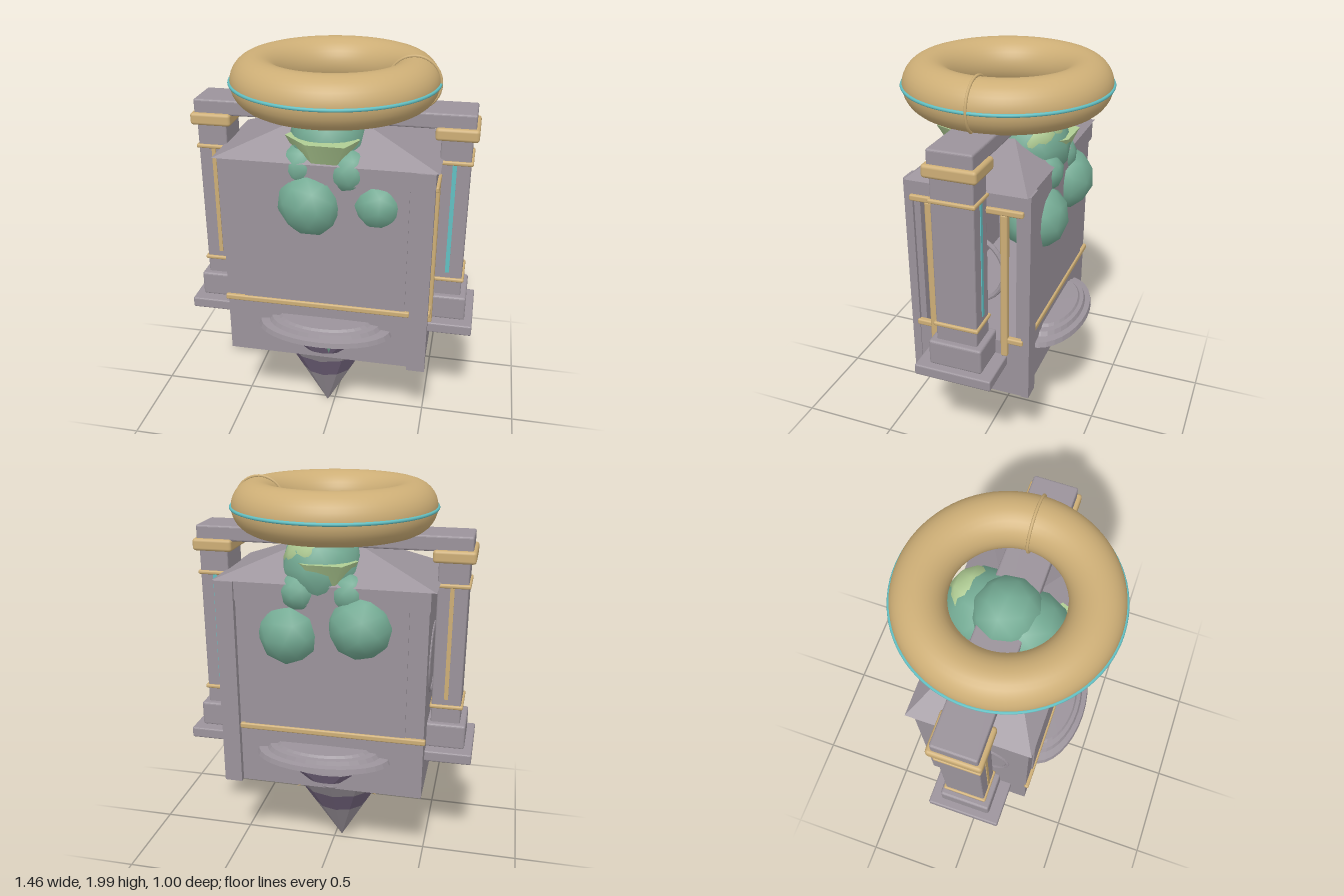
import * as THREE from 'three';
import { RoundedBoxGeometry } from 'three/addons/geometries/RoundedBoxGeometry.js';

const mat = (name, color, flatShading = false) => {
  const m = new THREE.MeshStandardMaterial({ color, flatShading });
  m.name = name;
  return m;
};

export function createModel() {
  const stone = mat('stone', 0x9b939b, true);
  const gold = mat('gold', 0xcdae76);
  const leaf = mat('leaf green', 0x74ab94);
  const paleLeaf = mat('pale leaf green', 0xb0cd94);
  const purple = mat('purple stone', 0x75667f, true);
  const cyan = mat('cyan glow', 0x62bfc2);
  const model = new THREE.Group();

  const add = (name, geo, material, x = 0, y = 0, z = 0, parent = model) => {
    const m = new THREE.Mesh(geo, material);
    m.name = name;
    m.position.set(x, y, z);
    parent.add(m);
    return m;
  };
  // box given by its minimum and maximum on each axis
  const box = (name, material, x0, x1, y0, y1, z0, z1, round = 0) => {
    const s = [x1 - x0, y1 - y0, z1 - z0];
    const geo = round ? new RoundedBoxGeometry(...s, 2, round) : new THREE.BoxGeometry(...s);
    return add(name, geo, material, (x0 + x1) / 2, (y0 + y1) / 2, (z0 + z1) / 2);
  };

  // shrine body: closed on the right, open niche on the left
  for (const s of [1, -1]) {
    const z = s * 0.25;
    box('wallPanel', stone, -0.5, 0.5, 0.48, 1.46, z - 0.02, z + 0.02);
    box('raisedPanel', stone, -0.41, 0.4, 0.8, 1.45, s * 0.272 - 0.005, s * 0.272 + 0.005);
    box('cornerPost', stone, 0.425, 0.515, 0.48, 1.545, s * 0.28 - 0.02, s * 0.28 + 0.02);
    box('wallTrim', gold, -0.51, 0.425, 0.78, 0.81, s * 0.275 - 0.012, s * 0.275 + 0.012, 0.008);
    box('sideTrim', gold, 0.495, 0.525, 0.78, 0.81, s * 0.22 - 0.05, s * 0.22 + 0.05, 0.008);
    box('nichePost', gold, 0.495, 0.53, 0.71, 1.45, s * 0.18 - 0.017, s * 0.18 + 0.017, 0.008);
  }
  box('rightWall', stone, -0.5, -0.46, 0.48, 1.46, -0.26, 0.26);
  box('lowerBody', stone, -0.5, 0.51, 0.48, 0.78, -0.265, 0.265);
  box('eave', stone, -0.505, 0.515, 1.45, 1.545, -0.285, 0.285);
  box('nicheBeam', gold, 0.495, 0.53, 1.445, 1.475, -0.27, 0.27, 0.008);
  for (const s of [1, -1]) {
    const rim = add('nicheRim', new THREE.TorusGeometry(0.17, 0.012, 8, 40), stone, s * 0.495, 1.14, 0);
    rim.rotation.y = Math.PI / 2;
  }

  // shallow pyramid roof
  const roof = add('roof', new THREE.ConeGeometry(Math.SQRT2, 0.21, 4).rotateY(Math.PI / 4), stone, 0, 1.65, 0);
  roof.scale.set(0.53, 1, 0.29);

  // lintel and the two side pillars
  box('lintel', stone, -0.67, 0.67, 1.69, 1.765, -0.105, 0.105, 0.01);
  for (const s of [1, -1]) {
    const block = (name, material, cx, w, y0, y1, d, r) =>
      box(name, material, s * cx - w / 2, s * cx + w / 2, y0, y1, -d, d, r);
    block('pillarShaft', stone, 0.587, 0.145, 0.8, 1.7, 0.1, 0.008);
    block('pillarCapital', gold, 0.587, 0.2, 1.64, 1.7, 0.125, 0.015);
    block('pillarBase', stone, 0.59, 0.2, 0.7, 0.83, 0.13, 0.012);
    block('pillarPlinth', stone, 0.61, 0.24, 0.65, 0.705, 0.19, 0.008);
    for (const y of [0.915, 1.53]) block('pillarBand', gold, 0.588, 0.165, y - 0.01, y + 0.01, 0.11, 0.008);
    block('pillarStrip', s > 0 ? cyan : gold, 0.585, 0.02, 0.955, 1.52, 0.104, 0);
  }

  // floating ring with a thin glowing line and a binding
  const flat = Math.PI / 2;
  add('crownRing', new THREE.TorusGeometry(0.37, 0.12, 32, 80), gold, 0, 1.868, 0).rotation.x = flat;
  add('ringLine', new THREE.TorusGeometry(0.491, 0.008, 8, 80), cyan, 0, 1.868, 0).rotation.x = flat;
  add('ringBinding', new THREE.TorusGeometry(0.124, 0.007, 8, 40), gold, 0.37, 1.868, 0);

  // foliage: overlapping faceted clumps spilling down both walls
  const clump = (x, y, z, r, material = leaf, sy = 1) => {
    const m = add('foliageClump', new THREE.IcosahedronGeometry(r, 1), material, x, y, z);
    m.rotation.set(x * 5, y * 3, z * 4);
    m.scale.y = sy;
  };
  clump(0, 1.71, 0, 0.168);
  clump(-0.01, 1.62, 0.1, 0.19);
  clump(0.03, 1.6, -0.12, 0.2);
  clump(-0.08, 1.33, 0.215, 0.17, leaf, 0.9);
  clump(0.25, 1.35, 0.2, 0.13);
  clump(0.17, 1.29, -0.2, 0.165);
  clump(-0.18, 1.35, -0.22, 0.165);
  clump(-0.12, 1.51, 0.19, 0.11);
  clump(0.11, 1.5, 0.2, 0.11);
  clump(0.12, 1.5, -0.22, 0.1);
  clump(-0.12, 1.5, -0.21, 0.1);
  for (const s of [1, -1]) {
    const wedge = add('paleFoliage', new THREE.ConeGeometry(0.19, 0.3, 6), paleLeaf, -0.02 * s, 1.5, s * 0.2);
    wedge.rotation.set(Math.PI, 0.4, 0);
    wedge.scale.z = 0.7;
  }
  clump(0.05, 1.64, -0.15, 0.16, paleLeaf, 0.8);

  // stepped ledges and hanging gems on both walls
  const ledge = [[0, 0.645], [0.3, 0.645], [0.345, 0.655], [0.335, 0.68], [0.29, 0.685],
    [0.275, 0.705], [0.24, 0.708], [0.225, 0.72], [0, 0.722]].map(p => new THREE.Vector2(...p));
  for (const s of [1, -1]) {
    const m = add('ledge', new THREE.LatheGeometry(ledge, 32), stone, 0, 0, s * 0.25);
    m.scale.z = 0.55;
    const gem = new THREE.Group();
    gem.name = 'gem';
    gem.position.set(-0.01, 0, s * 0.26);
    gem.scale.z = 0.38;
    model.add(gem);
    add('gemTop', new THREE.CylinderGeometry(0.12, 0.155, 0.07, 10), stone, 0, 0.61, 0, gem);
    add('gemTip', new THREE.CylinderGeometry(0.155, 0.08, 0.06, 10), purple, 0, 0.545, 0, gem);
  }
  add('moss', new THREE.CylinderGeometry(0.138, 0.12, 0.018, 12), leaf, 0, 0.632, 0.27).scale.z = 0.35;
  add('mossDrip', new THREE.ConeGeometry(0.03, 0.09, 6).rotateX(Math.PI), leaf, 0.03, 0.585, 0.315);

  // hanging rock spike in bands, leaning slightly forward
  const spike = (name, material, y0, y1) => {
    const r = y => 0.262 * (y - 0.01) / 0.47;
    const geo = new THREE.CylinderGeometry(r(y1), r(y0), y1 - y0, 12, 1).translate(0, (y0 + y1) / 2, 0);
    const p = geo.attributes.position;
    for (let i = 0; i < p.count; i++) p.setZ(i, p.getZ(i) + 0.03 - 0.09 * p.getY(i));
    add(name, geo, material, -0.037, 0, 0);
  };
  spike('spikeTip', stone, 0.01, 0.27);
  spike('spikeBand', purple, 0.27, 0.4);
  spike('spikeTop', stone, 0.4, 0.49);

  // gold hooks with small thorns gripping the spike
  for (const s of [1, -1]) {
    const hook = new THREE.Group();
    hook.name = 'hook';
    hook.position.x = s > 0 ? 0 : -0.02;
    hook.rotation.y = s > 0 ? 0 : Math.PI;
    model.add(hook);
    const path = new THREE.CatmullRomCurve3([[0.31, 0.49], [0.3, 0.44], [0.25, 0.38], [0.16, 0.34]]
      .map(([x, y]) => new THREE.Vector3(x, y, 0)));
    add('hookArc', new THREE.TubeGeometry(path, 16, 0.02, 8), gold, 0, 0, 0, hook);
    for (const [x, y] of [[0.32, 0.455], [0.19, 0.325]]) {
      add('hookThorn', new THREE.ConeGeometry(0.017, 0.06, 6), gold, x, y, 0, hook).rotation.z = -2.3;
    }
  }
  return model;
}
